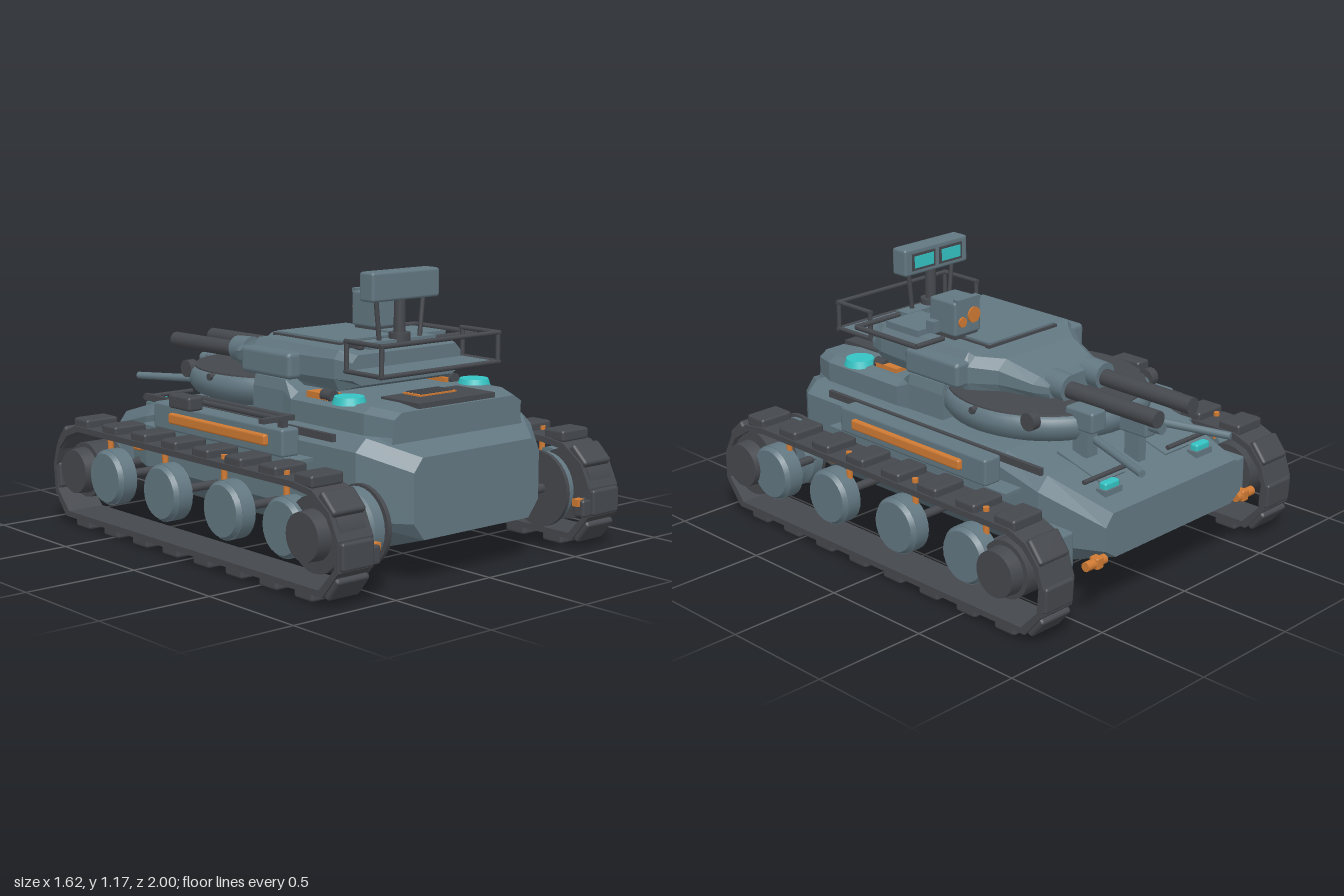
import * as THREE from 'three';
import { RoundedBoxGeometry } from 'three/addons/geometries/RoundedBoxGeometry.js';

const mat = (name, color) => Object.assign(new THREE.MeshStandardMaterial({ color }), { name });

export function createModel() {
  const steel = mat('blue grey steel', 0x627781);
  const dark = mat('dark iron', 0x45484d);
  const orange = mat('orange trim', 0xcf7a33);
  const cyan = mat('cyan lens', 0x35c3c3);
  const root = new THREE.Group();
  root.name = 'trackedVehicle';

  const add = (name, geo, m, x = 0, y = 0, z = 0) => {
    const mesh = new THREE.Mesh(geo, m);
    mesh.name = name;
    mesh.position.set(x, y, z);
    root.add(mesh);
    return mesh;
  };
  const box = (name, m, x, y, z, w, h, d) => add(name, new THREE.BoxGeometry(w, h, d), m, x, y, z);
  const bevel = (name, m, x, y, z, w, h, d, r = 0.012) =>
    add(name, new RoundedBoxGeometry(w, h, d, 1, r), m, x, y, z);
  // round bar between two points, optionally tapered
  const rod = (name, m, a, b, r, r2 = r, sides = 16) => {
    const p = new THREE.Vector3(...a), q = new THREE.Vector3(...b);
    const mesh = add(name, new THREE.CylinderGeometry(r2, r, p.distanceTo(q), sides), m);
    mesh.position.copy(p).lerp(q, 0.5);
    mesh.quaternion.setFromUnitVectors(new THREE.Vector3(0, 1, 0), q.sub(p).normalize());
    return mesh;
  };
  // faceted body through octagonal sections, listed from +z to -z:
  // [z, bottom, middle and top half widths, four heights]
  const loft = (name, m, rows) => {
    const pos = [], idx = [];
    for (const [z, wb, wm, wt, y0, y1, y2, y3] of rows) {
      for (const [x, y] of [[-wb, y0], [wb, y0], [wm, y1], [wm, y2], [wt, y3], [-wt, y3], [-wm, y2], [-wm, y1]])
        pos.push(x, y, z);
    }
    const last = (rows.length - 1) * 8;
    for (let i = 0; i < last; i += 8) for (let j = 0; j < 8; j++) {
      const a = i + j, b = i + (j + 1) % 8;
      idx.push(a, a + 8, b, b, a + 8, b + 8);
    }
    for (let j = 1; j < 7; j++) idx.push(0, j, j + 1, last, last + j + 1, last + j);
    const indexed = new THREE.BufferGeometry();
    indexed.setAttribute('position', new THREE.Float32BufferAttribute(pos, 3));
    indexed.setIndex(idx);
    const geo = indexed.toNonIndexed();
    geo.computeVertexNormals();
    return add(name, geo, m);
  };

  // hull and raised engine deck
  loft('hull', steel, [
    [0.93, 0.29, 0.345, 0.30, 0.19, 0.26, 0.46, 0.515],
    [0.75, 0.345, 0.485, 0.43, 0.135, 0.26, 0.53, 0.58],
    [-0.42, 0.345, 0.485, 0.43, 0.135, 0.26, 0.53, 0.58],
    [-0.64, 0.345, 0.485, 0.43, 0.14, 0.26, 0.48, 0.535],
    [-0.94, 0.36, 0.42, 0.38, 0.26, 0.30, 0.40, 0.45],
  ]);
  loft('engineDeck', steel, [
    [0.82, 0.36, 0.35, 0.31, 0.55, 0.58, 0.65, 0.675],
    [0.70, 0.41, 0.40, 0.36, 0.55, 0.58, 0.665, 0.688],
    [0.26, 0.41, 0.40, 0.36, 0.55, 0.58, 0.665, 0.69],
    [0.20, 0.41, 0.39, 0.38, 0.55, 0.58, 0.69, 0.735],
    [0.0, 0.39, 0.385, 0.375, 0.55, 0.58, 0.69, 0.735],
  ]);
  box('deckLouvre', dark, 0, 0.685, 0.70, 0.42, 0.025, 0.22);
  box('deckVent', orange, 0, 0.695, 0.65, 0.2, 0.018, 0.1);
  for (let i = -2; i <= 2; i++) box('ventSlat', dark, 0, 0.706, 0.65 + i * 0.02, 0.18, 0.006, 0.005);

  // turret ring with rounded rim and dark floor
  add('turretRing', new THREE.LatheGeometry([[0.36, 0.585], [0.415, 0.61], [0.437, 0.64], [0.44, 0.67],
    [0.432, 0.70], [0.415, 0.712], [0.39, 0.712]].map(([r, y]) => new THREE.Vector2(r, y)), 48),
  steel, 0, 0, -0.23);
  add('ringFloor', new THREE.CylinderGeometry(0.415, 0.42, 0.03, 48), dark, 0, 0.703, -0.23);

  // turret with side cheeks
  loft('turretBody', steel, [
    [0.52, 0.25, 0.30, 0.27, 0.735, 0.76, 0.83, 0.86],
    [0.44, 0.30, 0.325, 0.30, 0.71, 0.76, 0.84, 0.875],
    [-0.07, 0.32, 0.335, 0.30, 0.71, 0.75, 0.83, 0.875],
    [-0.09, 0.31, 0.325, 0.28, 0.71, 0.75, 0.82, 0.857],
    [-0.19, 0.23, 0.25, 0.20, 0.71, 0.75, 0.81, 0.85],
    [-0.34, 0.18, 0.20, 0.16, 0.71, 0.74, 0.775, 0.80],
    [-0.40, 0.16, 0.17, 0.15, 0.72, 0.74, 0.77, 0.79],
  ]);
  for (const s of [-1, 1]) bevel('turretCheek', steel, s * 0.33, 0.79, 0.07, 0.11, 0.11, 0.32, 0.02);
  box('hatchGasket', dark, 0, 0.877, 0.12, 0.41, 0.012, 0.43);
  box('hatch', steel, 0, 0.885, 0.12, 0.39, 0.012, 0.41);
  box('roofPlate', steel, 0, 0.885, 0.46, 0.36, 0.03, 0.07);
  bevel('roofLatch', dark, -0.21, 0.885, 0.44, 0.03, 0.03, 0.08, 0.008);

  // sensor box with lenses
  bevel('sensorBox', steel, 0.19, 0.975, 0.12, 0.15, 0.15, 0.155);
  box('sensorFoot', dark, 0.19, 0.895, 0.12, 0.13, 0.02, 0.13);
  box('sensorHood', steel, 0.19, 1.05, 0.05, 0.13, 0.02, 0.03);
  for (const [x, y, r] of [[0.16, 0.98, 0.034], [0.225, 0.96, 0.022]])
    rod('sensorLens', orange, [x, y, 0.05], [x, y, 0.035], r);
  box('sensorSidePlug', steel, 0.28, 0.93, 0.16, 0.04, 0.05, 0.045);
  for (const [a, b] of [[[0.27, 0.11], [0.425, 0.11]], [[0.425, 0.11], [0.425, 0.48]], [[0.425, 0.48], [0.11, 0.48]]])
    rod('roofRail', dark, [a[0], 0.885, a[1]], [b[0], 0.885, b[1]], 0.012, 0.012, 8);
  box('roofBox', steel, 0.21, 0.885, 0.32, 0.2, 0.03, 0.2);

  // radar mast and head
  rod('mast', dark, [0, 0.88, 0.47], [0, 1.07, 0.47], 0.024);
  rod('mastFoot', dark, [0, 0.87, 0.47], [0, 0.925, 0.47], 0.045);
  bevel('radarHead', steel, 0, 1.12, 0.47, 0.37, 0.12, 0.085);
  for (const s of [-1, 1]) {
    rod('mastStrut', dark, [s * 0.11, 0.88, 0.47], [s * 0.13, 1.07, 0.47], 0.01, 0.01, 8);
    box('screenFrame', dark, s * 0.08, 1.12, 0.427, 0.135, 0.075, 0.008);
    box('screen', cyan, s * 0.08, 1.12, 0.423, 0.11, 0.052, 0.008);
  }

  // basket behind the turret: floor and rails
  box('basketFloor', steel, 0, 0.797, 0.60, 0.64, 0.012, 0.22);
  for (const y of [0.80, 0.92]) rod('basketRail', dark, [-0.33, y, 0.715], [0.33, y, 0.715], 0.01, 0.01, 8);
  for (const s of [-1, 1]) {
    for (const y of [0.80, 0.92]) rod('basketSideRail', dark, [s * 0.32, y, 0.5], [s * 0.32, y, 0.72], 0.01, 0.01, 8);
    for (const z of [0.51, 0.715]) rod('basketPost', dark, [s * 0.32, 0.795, z], [s * 0.32, 0.925, z], 0.01, 0.01, 8);
  }

  // closed track outline as [z, y]
  const path = [[0.89, 0.04], [0.98, 0.15], [0.98, 0.27], [0.93, 0.37], [0.83, 0.44], [0.72, 0.455],
    [-0.76, 0.455], [-0.85, 0.42], [-0.91, 0.35], [-0.94, 0.26], [-0.93, 0.14], [-0.845, 0.04]];
  const trackShape = new THREE.Shape(path.map(([z, y]) => new THREE.Vector2(z, y)));
  trackShape.holes.push(new THREE.Path(path.map(([z, y]) =>
    new THREE.Vector2(0.02 + (z - 0.02) * 0.977, 0.248 + (y - 0.248) * 0.88)).reverse()));
  const trackGeo = new THREE.ExtrudeGeometry(trackShape, { depth: 0.175, bevelEnabled: false });
  trackGeo.translate(0, 0, -0.0875).rotateY(-Math.PI / 2);
  const padGeo = new RoundedBoxGeometry(0.16, 0.05, 0.11, 1, 0.012);

  for (const s of [-1, 1]) {
    // tracks and tread pads
    add('track', trackGeo, dark, s * 0.685, 0, 0);
    for (let i = 0; i < 8; i++) {
      const z = 0.77 - i * 0.214;
      add('treadPad', padGeo, dark, s * 0.685, 0.465, z);
      add('treadPad', padGeo, dark, s * 0.685, 0.03, z);
    }
    for (const [y, z, a] of [[0.21, 0.975, 1.57], [0.39, 0.9, 0.75], [0.085, 0.925, -0.9],
      [0.21, -0.925, 1.5], [0.385, -0.875, -0.9], [0.09, -0.885, 0.87]])
      add('endPad', padGeo, dark, s * 0.685, y, z).rotation.x = a;
    // orange posts inside the track run
    for (const z of [-0.58, -0.18, 0.22, 0.61])
      rod('trackPost', orange, [s * 0.71, 0.35, z], [s * 0.71, 0.472, z], 0.013);

    // thin road wheels on axles
    for (const z of [0.66, 0.287, -0.125, -0.52]) {
      rod('roadWheel', steel, [s * 0.70, 0.265, z], [s * 0.765, 0.265, z], 0.12, 0.12, 24);
      rod('wheelFace', steel, [s * 0.765, 0.265, z], [s * 0.785, 0.265, z], 0.118, 0.105, 24);
      rod('axle', dark, [s * 0.45, 0.265, z], [s * 0.71, 0.265, z], 0.018);
    }
    // end wheels
    for (const [z, r] of [[0.82, 0.15], [-0.72, 0.12]]) {
      rod('endWheel', dark, [s * 0.62, 0.265, z], [s * 0.75, 0.265, z], r, r, 24);
      rod('endHub', dark, [s * 0.75, 0.265, z], [s * 0.81, 0.265, z], 0.1, 0.095, 24);
      rod('endAxle', dark, [s * 0.4, 0.265, z], [s * 0.63, 0.265, z], 0.02);
    }
    rod('finalDrive', steel, [s * 0.50, 0.26, 0.79], [s * 0.55, 0.26, 0.79], 0.15, 0.148, 32);
    rod('driveCap', steel, [s * 0.55, 0.26, 0.79], [s * 0.575, 0.26, 0.79], 0.148, 0.12, 32);
    rod('driveFlange', dark, [s * 0.485, 0.26, 0.8], [s * 0.503, 0.26, 0.8], 0.16, 0.16, 32);
    bevel('idlerMount', steel, s * 0.535, 0.30, -0.775, 0.09, 0.16, 0.13);

    // side shelf, stowage with orange bar, dark deck rail and brackets
    box('sideShelf', steel, s * 0.53, 0.465, -0.025, 0.09, 0.015, 1.05);
    bevel('sideStowage', steel, s * 0.535, 0.527, -0.01, 0.09, 0.115, 0.87);
    bevel('sideBar', orange, s * 0.585, 0.53, 0.01, 0.03, 0.046, 0.65, 0.01);
    box('deckRail', dark, s * 0.472, 0.565, -0.02, 0.018, 0.03, 1.26);
    for (const [y, z] of [[0.36, -0.635], [0.30, 0.54]])
      bevel('bracketCap', orange, s * 0.515, y, z, 0.06, 0.05, 0.055);

    // end brackets and tow hooks
    bevel('endBracket', dark, s * 0.60, 0.19, 0.955, 0.08, 0.075, 0.06);
    box('endMarker', orange, s * 0.565, 0.215, 0.95, 0.04, 0.03, 0.03);
    rod('towHook', orange, [s * 0.41, 0.265, -0.925], [s * 0.52, 0.265, -0.925], 0.02);
    bevel('towTab', orange, s * 0.455, 0.265, -0.925, 0.04, 0.05, 0.045, 0.008);
    for (const y of [0.26, 0.36]) rod('hullBolt', dark, [s * 0.44, y, 0.76], [s * 0.495, y, 0.76], 0.015);

    // deck lamps and orange tool boxes
    rod('lampDome', cyan, [s * 0.345, 0.68, 0.555], [s * 0.345, 0.71, 0.555], 0.07, 0.06, 24);
    box('toolBox', orange, s < 0 ? -0.345 : 0.3, 0.695, 0.4, 0.07, 0.025, 0.13);
    rod('toolCap', dark, [s < 0 ? -0.36 : 0.31, 0.70, 0.42], [s < 0 ? -0.36 : 0.31, 0.70, 0.48], 0.025);

    // headlamps, guard bars and deck panels on the sloping deck
    bevel('headlamp', cyan, s * 0.28, 0.51, -0.83, 0.085, 0.035, 0.04, 0.01);
    box('headlampBase', steel, s * 0.28, 0.48, -0.83, 0.1, 0.04, 0.05);
    rod('guardBar', dark, [s * 0.12, 0.535, -0.79], [s * 0.385, 0.535, -0.79], 0.01, 0.01, 8);
    box('deckPanel', steel, s * 0.2, 0.525, -0.66, 0.15, 0.02, 0.24).rotation.x = -0.27;
    rod('antenna', steel, [s * 0.15, 0.612, -0.62], [s * 0.275, 0.598, -0.99], 0.018, 0.016, 12);

    // ring knobs, mantlets and guns
    for (const [x, z, r] of [[0.36, -0.48, 0.038], [0.425, -0.23, 0.015]])
      rod('ringKnob', dark, [s * (x - 0.02), 0.70, z], [s * (x + 0.02), 0.70, z], r);
    rod('gunCollar', steel, [s * 0.105, 0.77, -0.36], [s * 0.105, 0.765, -0.46], 0.058);
    rod('gunBarrel', dark, [s * 0.105, 0.76, -0.44], [s * 0.105, 0.755, -0.925], 0.036);
  }

  // small fittings below the guns
  bevel('centreHousing', steel, 0, 0.66, -0.73, 0.07, 0.08, 0.15);
  rod('centreBarrel', steel, [0, 0.67, -0.78], [0, 0.67, -0.86], 0.025);
  box('housingStem', steel, 0, 0.57, -0.72, 0.04, 0.13, 0.08);
  bevel('sightBox', steel, 0.18, 0.70, -0.61, 0.085, 0.09, 0.15);
  box('sightFoot', steel, 0.18, 0.61, -0.61, 0.06, 0.13, 0.08);

  // tool rack on one side
  for (const x of [-0.56, -0.505]) rod('rackBar', dark, [x, 0.62, -0.24], [x, 0.62, 0.40], 0.012, 0.012, 8);
  for (const z of [-0.19, 0.38]) {
    box('rackBracket', dark, -0.57, 0.62, z, 0.16, 0.02, 0.03);
    box('rackPost', dark, -0.54, 0.595, z, 0.03, 0.05, 0.03);
  }
  bevel('rackBox', dark, -0.61, 0.62, -0.17, 0.075, 0.06, 0.15);

  return root;
}
